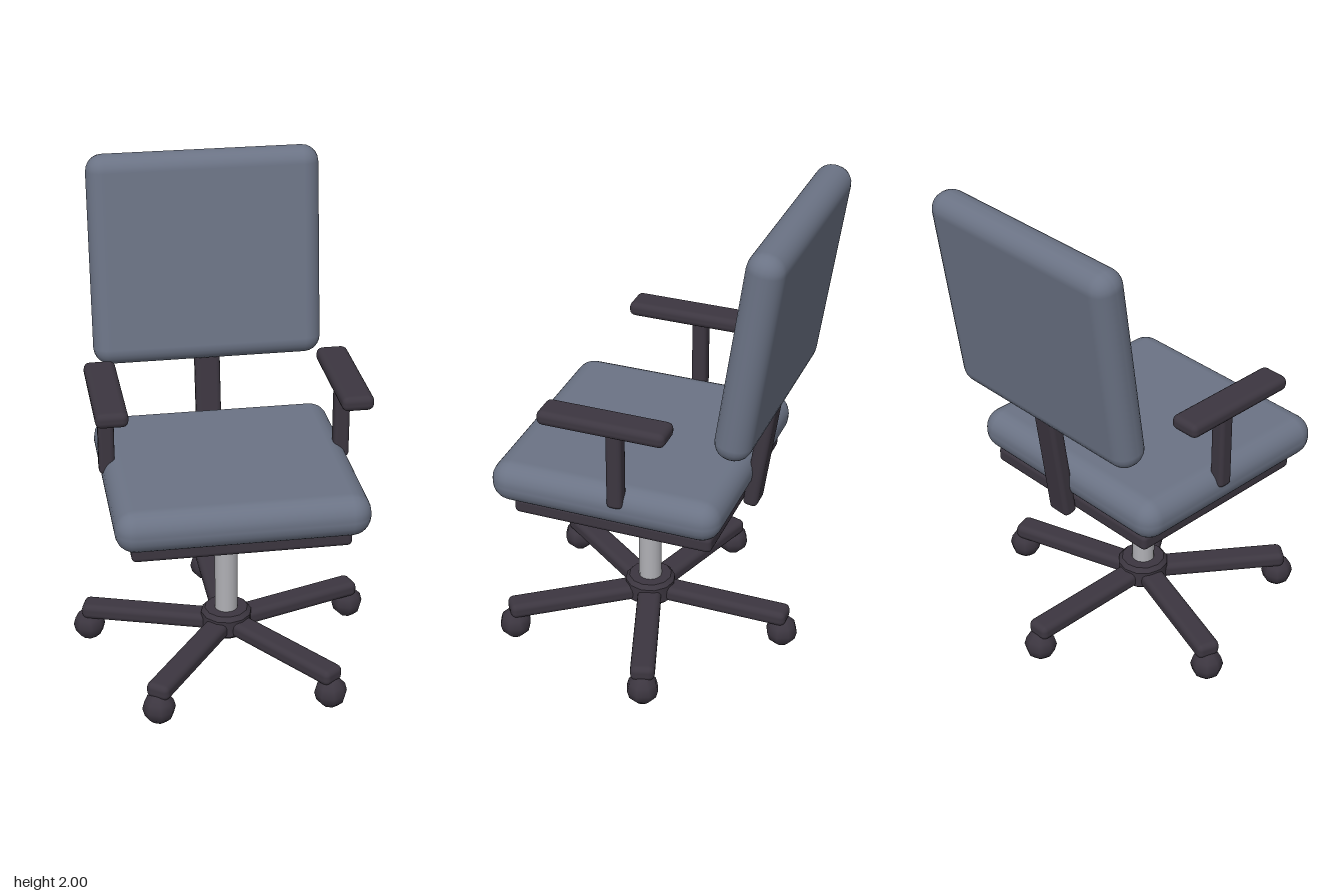
import * as THREE from 'three';
import { RoundedBoxGeometry } from 'three/addons/geometries/RoundedBoxGeometry.js';
import { toCreasedNormals } from 'three/addons/utils/BufferGeometryUtils.js';

const fabric = new THREE.MeshStandardMaterial({ color: 0x6b7385 });
const plastic = new THREE.MeshStandardMaterial({ color: 0x3c3640 });
const metal = new THREE.MeshStandardMaterial({ color: 0xb0b0b5 });

const AXIS_Z = 0.067; // the column stands slightly forward of the centre
const TILT = -0.143; // backrest leans backwards

export function createModel() {
  const chair = new THREE.Group();
  chair.name = 'officeChair';

  const add = (name, geometry, material, x, y, z, parent = chair) => {
    const mesh = new THREE.Mesh(geometry, material);
    mesh.name = name;
    mesh.position.set(x, y, z);
    parent.add(mesh);
    return mesh;
  };
  const softBox = (w, h, d, radius, segments = 2) => new RoundedBoxGeometry(w, h, d, segments, radius);

  // Seat cushion and the plate under it
  add('seat', softBox(0.996, 0.172, 0.958, 0.08, 3), fabric, 0, 0.844, 0.088);
  add('seatPlate', softBox(0.866, 0.068, 0.832, 0.02), plastic, 0, 0.726, 0.066);

  // Leaning backrest and its support bar
  add('backrest', softBox(0.956, 0.872, 0.147, 0.07, 3), fabric, 0, 1.569, -0.48).rotation.x = TILT;
  add('backSupport', softBox(0.106, 0.56, 0.062, 0.02), plastic, 0, 0.962, -0.418).rotation.x = TILT;

  // Armrests
  for (const side of [-1, 1]) {
    const arm = new THREE.Group();
    arm.name = side > 0 ? 'leftArmrest' : 'rightArmrest';
    chair.add(arm);
    add('armPost', softBox(0.064, 0.36, 0.064, 0.018), plastic, side * 0.478, 1.04, 0.021, arm);
    add('armPad', softBox(0.128, 0.061, 0.52, 0.025), plastic, side * 0.477, 1.222, 0.063, arm);
  }

  // Central column and bevelled hub
  add('column', new THREE.CylinderGeometry(0.048, 0.048, 0.56, 16), metal, 0, 0.44, AXIS_Z);
  const hubProfile = [[0, 0.103], [0.09, 0.103], [0.106, 0.119], [0.106, 0.19], [0.09, 0.208], [0, 0.208]]
    .map(([r, y]) => new THREE.Vector2(r, y));
  add('hub', toCreasedNormals(new THREE.LatheGeometry(hubProfile, 12), 0.6), plastic, 0, 0, AXIS_Z);

  // Five-legged star base, one leg pointing straight back, with ball casters
  const legGeometry = softBox(0.1, 0.067, 0.57, 0.025);
  const casterGeometry = new THREE.SphereGeometry(0.067, 8, 6);
  for (let i = 0; i < 5; i++) {
    const angle = Math.PI + (i * Math.PI * 2) / 5;
    const at = (r) => [Math.sin(angle) * r, AXIS_Z + Math.cos(angle) * r];
    const [lx, lz] = at(0.328);
    add('leg', legGeometry, plastic, lx, 0.145, lz).rotation.y = angle;
    const [cx, cz] = at(0.59);
    add('caster', casterGeometry, plastic, cx, 0.067, cz);
  }

  return chair;
}
